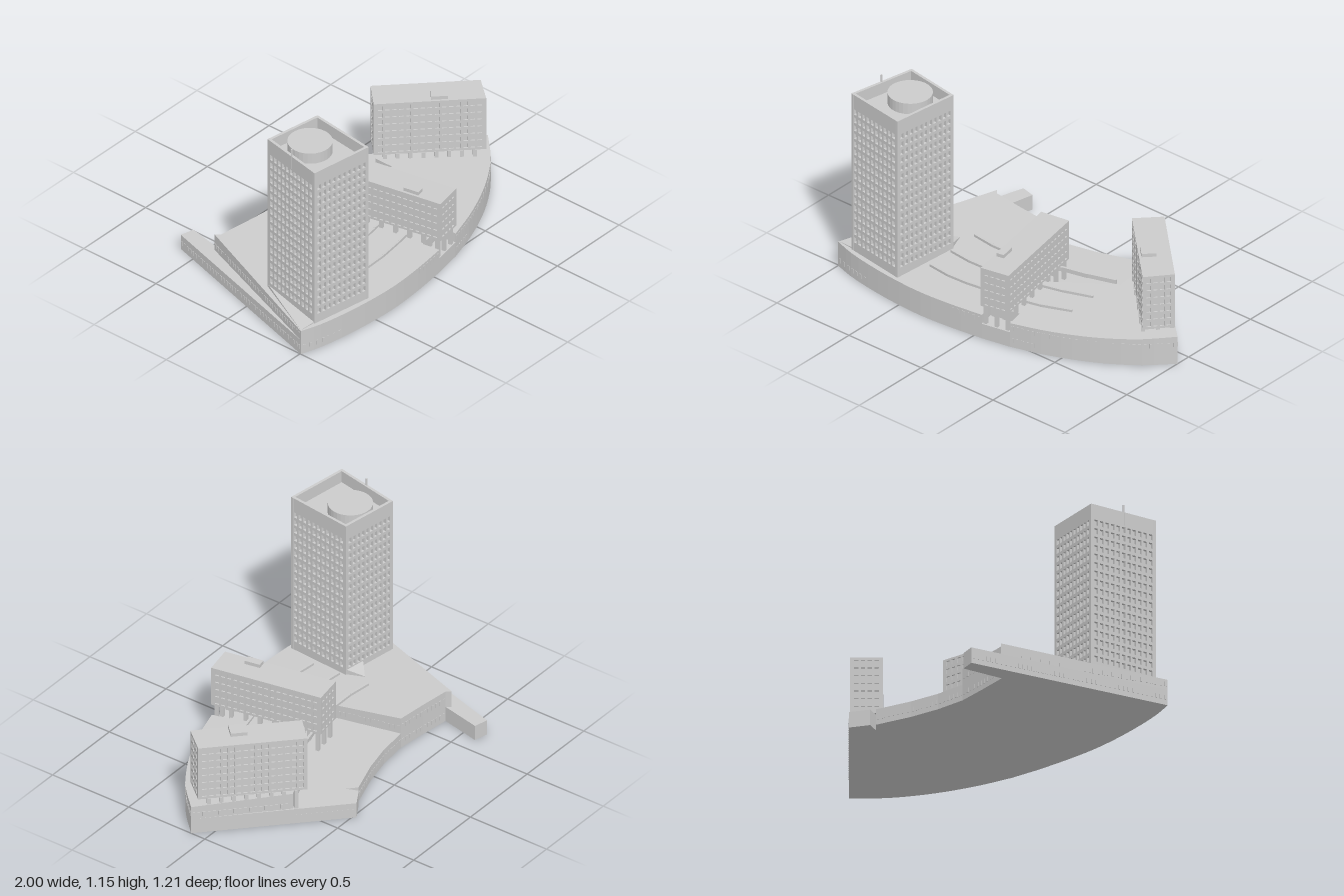
import * as THREE from 'three';
import { mergeGeometries } from 'three/addons/utils/BufferGeometryUtils.js';
import { ConvexGeometry } from 'three/addons/geometries/ConvexGeometry.js';

const mat = new THREE.MeshStandardMaterial({ color: 0xcccccc, flatShading: true });
const roofY = (z) => 0.171 - 0.046 * z; // gently sloping podium roof
const lerp = (a, b, t) => [a[0] + (b[0] - a[0]) * t, a[1] + (b[1] - a[1]) * t];

function addMesh(parent, name, geometry) {
  const mesh = new THREE.Mesh(geometry, mat);
  mesh.name = name;
  parent.add(mesh);
  return mesh;
}

// Upright prism over a plan outline of [x, z] points
function prism(plan, y0, y1) {
  const shape = new THREE.Shape(plan.map(([x, z]) => new THREE.Vector2(x, -z)));
  return new THREE.ExtrudeGeometry(shape, { depth: y1 - y0, bevelEnabled: false })
    .rotateX(-Math.PI / 2).translate(0, y0, 0);
}

// Frame at plan point p, local x along a->b, local z outward
function wallMatrix(a, b, p, y) {
  const u = new THREE.Vector3(b[0] - a[0], 0, b[1] - a[1]).normalize();
  const up = new THREE.Vector3(0, 1, 0);
  return new THREE.Matrix4().makeBasis(u, up, u.clone().cross(up)).setPosition(p[0], y, p[1]);
}

// Wall panel pierced by a grid of windows; a->b runs left to right from outside
function facade(a, b, y0, y1, g, cols) {
  const w = Math.hypot(b[0] - a[0], b[1] - a[1]), h = y1 - y0;
  const shape = new THREE.Shape([[0, 0], [w, 0], [w, h], [0, h]].map((p) => new THREE.Vector2(...p)));
  const m = 0.015, px = (w - 2 * m) / cols, py = (g.top - g.bottom) / g.rows;
  for (let r = 0; r < g.rows; r++) {
    for (let c = 0; c < cols; c++) {
      const x0 = m + px * (c + 0.18), x1 = m + px * (c + 0.82);
      const v0 = g.bottom - y0 + py * (r + 0.2), v1 = v0 + py * 0.64;
      shape.holes.push(new THREE.Path([[x0, v0], [x0, v1], [x1, v1], [x1, v0]].map((p) => new THREE.Vector2(...p))));
    }
  }
  return new THREE.ExtrudeGeometry(shape, { depth: g.depth, bevelEnabled: false })
    .translate(0, 0, -g.depth).applyMatrix4(wallMatrix(a, b, a, y0));
}

// Four-sided building: solid core plus four window walls
function building(name, corners, y0, y1, coreTop, g) {
  const group = new THREE.Group();
  group.name = name;
  const mid = lerp(lerp(corners[0], corners[2], 0.5), lerp(corners[1], corners[3], 0.5), 0.5);
  const core = corners.map((p, i) => {
    const n = corners[(i + 1) % 4], q = corners[(i + 3) % 4];
    const ln = Math.hypot(n[0] - p[0], n[1] - p[1]), lq = Math.hypot(q[0] - p[0], q[1] - p[1]);
    return [0, 1].map((k) => p[k] + g.depth * ((n[k] - p[k]) / ln + (q[k] - p[k]) / lq));
  });
  addMesh(group, 'core', prism(core, y0, coreTop));
  addMesh(group, 'windowWalls', mergeGeometries(corners.map((p, i) =>
    facade(p, corners[(i + 1) % 4], y0, y1, g, g.cols[i % 2]))));
  group.userData.mid = mid;
  return group;
}

// Stilts in a grid below a building
function stilts(parent, c, nx, nz, top) {
  const list = [];
  for (let i = 0; i < nx; i++) {
    for (let j = 0; j < nz; j++) {
      const s = 0.1 + 0.8 * i / (nx - 1), t = 0.04 + 0.92 * j / (nz - 1);
      const p = lerp(lerp(c[0], c[1], s), lerp(c[3], c[2], s), t);
      list.push(new THREE.BoxGeometry(0.02, top - 0.085, 0.02)
        .applyMatrix4(wallMatrix(c[0], c[1], p, (top + 0.085) / 2)));
    }
  }
  addMesh(parent, 'stilts', mergeGeometries(list));
}

// Rooftop box aligned with a building's first side
function roofBox(parent, c, p, w, d, y0, y1) {
  addMesh(parent, 'roofBox', new THREE.BoxGeometry(w, y1 - y0, d)
    .applyMatrix4(wallMatrix(c[0], c[1], p, (y0 + y1) / 2)));
}

// Row of small windows along a plan polyline
function windowRow(pts, y, keep = () => true) {
  const list = [];
  for (let i = 0; i < pts.length - 1; i++) {
    const a = pts[i], b = pts[i + 1];
    const n = Math.floor(Math.hypot(b[0] - a[0], b[1] - a[1]) / 0.027);
    for (let k = 0; k < n; k++) {
      const p = lerp(a, b, (k + 0.5) / n);
      if (keep(p)) list.push(new THREE.BoxGeometry(0.014, 0.026, 0.005).applyMatrix4(wallMatrix(a, b, p, y)));
    }
  }
  return list;
}

export function createModel() {
  const model = new THREE.Group();
  model.name = 'officeComplex';

  // Plan outlines
  const arcL = new THREE.CatmullRomCurve3([[-1, 0.505], [-0.87, 0.545], [-0.63, 0.585], [-0.37, 0.603], [-0.16, 0.592], [0.05, 0.567]]
    .map(([x, z]) => new THREE.Vector3(x, 0, z))).getPoints(16).map((v) => [v.x, v.z]);
  const arcR = new THREE.CatmullRomCurve3([[0.22, 0.535], [0.4, 0.48], [0.57, 0.41], [0.71, 0.335], [0.86, 0.23], [1, 0.09]]
    .map(([x, z]) => new THREE.Vector3(x, 0, z))).getPoints(16).map((v) => [v.x, v.z]);
  const backArc = [[0.235, -0.44], [0.04, -0.375], [-0.13, -0.337], [-0.3, -0.32], [-0.47, -0.338], [-0.64, -0.36]];
  const backRight = [[0.36, -0.52], [0.26, -0.46], [0.285, -0.395]];
  const wing = [[-0.59, -0.59], [-0.67, -0.61]];
  const court = [[0.6, -0.28], [0.435, -0.205], [0.44, -0.1], [0.14, 0.1], [-0.05, 0.145], [-0.19, 0.145], [-0.3, -0.32]];
  const upperBack = [[-0.3, -0.32], [-0.47, -0.338], [-0.64, -0.36], [-0.66, -0.385]];

  // Podium: flat lower storey and sloping upper storey around a sunken court
  const podium = new THREE.Group();
  podium.name = 'podium';
  model.add(podium);
  addMesh(podium, 'lowerStorey', prism([...arcL, ...arcR, ...backRight, ...backArc, ...wing], 0, 0.09));
  const upper = prism([...arcL, [0.03, 0.47], [0.2, 0.435], ...arcR, ...court, ...upperBack.slice(1)], 0.09, 0.15);
  const pos = upper.attributes.position;
  for (let i = 0; i < pos.count; i++) if (pos.getY(i) > 0.1) pos.setY(i, roofY(pos.getZ(i)));
  upper.computeVertexNormals();
  addMesh(podium, 'upperStorey', upper);

  const rightEdge = [[1, 0.09], [0.36, -0.52]];
  addMesh(podium, 'podiumWindows', mergeGeometries([
    ...windowRow(arcL, 0.117, ([x]) => x > -0.14),
    ...windowRow(arcR, 0.117),
    ...windowRow(arcL, 0.042, ([x]) => x < -0.75),
    ...windowRow(arcR, 0.042, ([x]) => x < 0.37),
    ...windowRow(rightEdge, 0.117, ([x]) => x > 0.61),
    ...windowRow(rightEdge, 0.042, ([x]) => x < 0.6),
    ...windowRow(backArc, 0.042),
    ...windowRow([[-0.67, -0.61], [-1, 0.505]], 0.042),
    ...windowRow(court.slice(1), 0.125),
    ...windowRow(upperBack.slice(0, 3), 0.135),
    ...windowRow([[-0.66, -0.385], [-1, 0.505]], 0.122),
  ]));

  // Curved roof-light strips, interrupted beneath the middle block
  const strips = [
    [[-0.465, 0.02], [-0.33, 0.037], [-0.2, 0.037], [-0.05, 0.022], [0.1, -0.025], [0.25, -0.06], [0.405, -0.11]],
    [[-0.465, 0.21], [-0.33, 0.225], [-0.2, 0.222], [-0.05, 0.2], [0.1, 0.172], [0.25, 0.135], [0.405, 0.08]],
    [[-0.465, 0.38], [-0.33, 0.395], [-0.2, 0.39], [-0.05, 0.37], [0.1, 0.345], [0.25, 0.31], [0.405, 0.25]],
  ];
  strips.forEach((pts) => {
    const list = [];
    for (let i = 0; i < pts.length - 1; i++) {
      const a = pts[i], b = pts[i + 1], p = lerp(a, b, 0.5);
      list.push(new THREE.BoxGeometry(Math.hypot(b[0] - a[0], b[1] - a[1]) + 0.002, 0.024, 0.014)
        .applyMatrix4(wallMatrix(a, b, p, roofY(p[1]) + 0.002)));
    }
    addMesh(podium, 'roofLightStrip', mergeGeometries(list));
  });

  // Sloping wedges beside the tower
  const wedge = (pts) => addMesh(podium, 'wedge', new ConvexGeometry(pts.flatMap(([x, z, h]) =>
    [new THREE.Vector3(x, 0.12, z), new THREE.Vector3(x, roofY(z) + h, z)])));
  wedge([[-0.995, 0.5, 0.001], [-0.82, 0.125, 0.015], [-0.89, 0.51, 0.008]]);
  wedge([[-0.61, 0.16, 0.03], [-0.52, 0.08, 0.003], [-0.485, 0.18, 0.03]]);

  // Tower with parapet, roof drum and mast
  const tc = [[-0.9, 0.515], [-0.53, 0.573], [-0.48, 0.176], [-0.82, 0.12]];
  const tower = building('tower', tc, 0.13, 1.11, 1.04,
    { top: 1.03, bottom: 0.19, rows: 17, cols: [10, 11], depth: 0.016 });
  addMesh(tower, 'roofDrum', new THREE.CylinderGeometry(0.12, 0.12, 0.065, 32).translate(-0.68, 1.072, 0.295));
  addMesh(tower, 'mast', new THREE.CylinderGeometry(0.005, 0.005, 0.12, 8).translate(-0.857, 1.092, 0.32));
  model.add(tower);

  // Middle block on stilts
  const mc = [[0.05, 0.575], [0.215, 0.543], [0.095, -0.088], [-0.075, -0.06]];
  const middle = building('middleBlock', mc, 0.205, 0.44, 0.44,
    { top: 0.435, bottom: 0.208, rows: 5, cols: [4, 17], depth: 0.008 });
  stilts(middle, mc, 3, 8, 0.207);
  roofBox(middle, mc, [0.05, 0.385], 0.045, 0.09, 0.435, 0.46);
  model.add(middle);

  // Right block on stilts
  const rc = [[0.425, -0.21], [0.855, 0.203], [0.965, 0.07], [0.545, -0.335]];
  const right = building('rightBlock', rc, 0.205, 0.53, 0.53,
    { top: 0.522, bottom: 0.21, rows: 7, cols: [15, 4], depth: 0.008 });
  stilts(right, rc, 8, 3, 0.207);
  roofBox(right, rc, [0.715, -0.005], 0.09, 0.08, 0.525, 0.55);
  model.add(right);

  return model;
}
